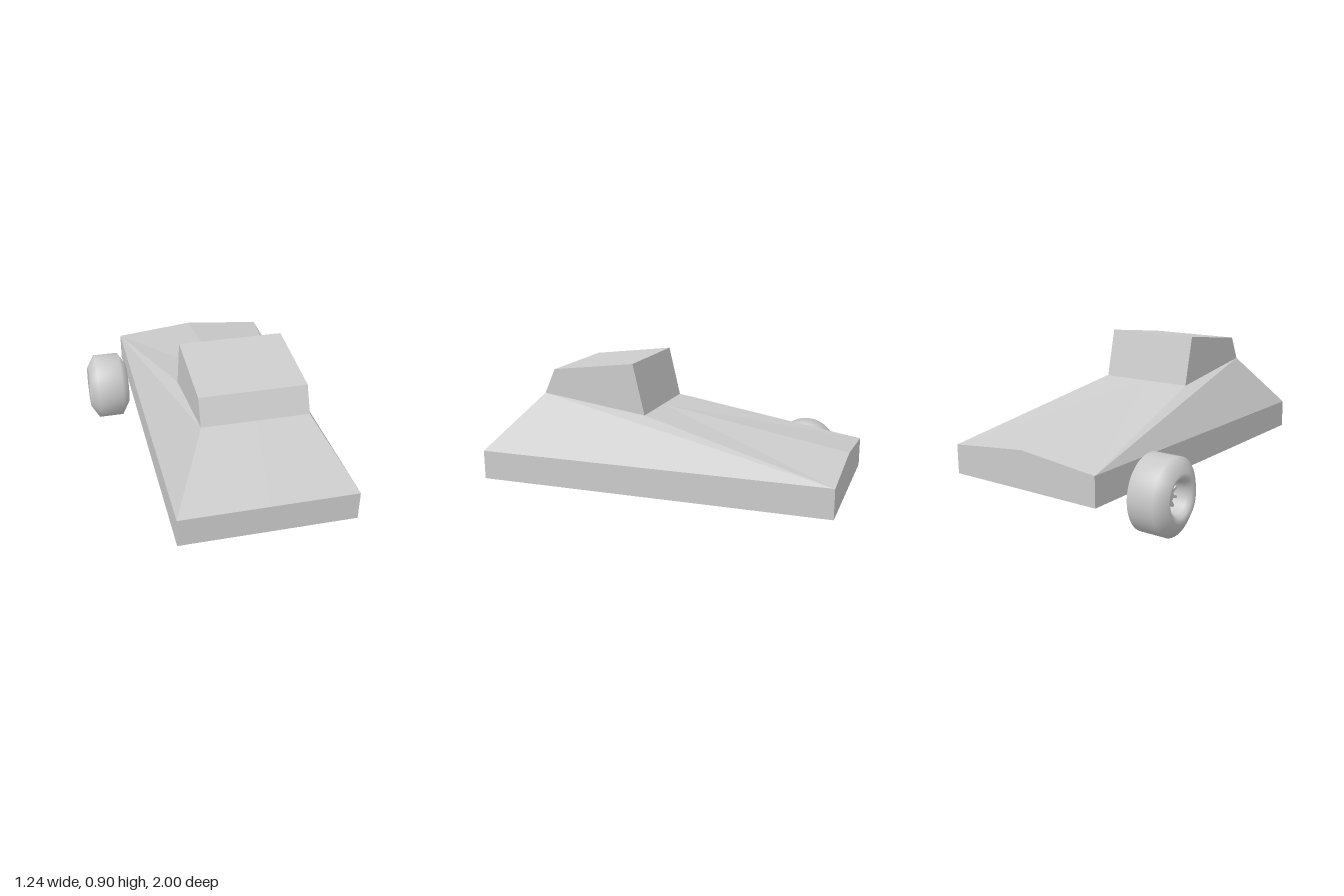
import * as THREE from 'three';

const grey = new THREE.MeshStandardMaterial({ color: 0xcccccc });
const flat = new THREE.MeshStandardMaterial({ color: 0xcccccc, flatShading: true });

// Builds a mesh from quads of one half (x >= 0) and their mirror images
function mirroredMesh(name, quads) {
  const pos = [];
  for (const [a, b, c, d] of quads) {
    for (const p of [a, b, c, a, c, d]) pos.push(...p);
    for (const [x, y, z] of [a, c, b, a, d, c]) pos.push(-x, y, z);
  }
  const geo = new THREE.BufferGeometry();
  geo.setAttribute('position', new THREE.Float32BufferAttribute(pos, 3));
  geo.computeVertexNormals();
  const mesh = new THREE.Mesh(geo, flat);
  mesh.name = name;
  return mesh;
}

function createBody() {
  const w = 0.485, c = 0.292; // half widths of hull and cabin
  const body = new THREE.Group();
  body.name = 'body';

  // Lower slab; its rear face rises to a low peak in the middle
  body.add(mirroredMesh('chassis', [
    [[0, 0.213, 1], [0, 0.213, -1], [w, 0.213, -1], [w, 0.213, 1]],
    [[0, 0.213, 1], [w, 0.213, 1], [w, 0.378, 1], [0, 0.378, 1]],
    [[w, 0.213, 1], [w, 0.213, -1], [w, 0.378, -1], [w, 0.378, 1]],
    [[w, 0.213, -1], [0, 0.213, -1], [0, 0.426, -1], [w, 0.378, -1]],
  ]));

  // Sloping hood, flanks and creased rear deck
  body.add(mirroredMesh('slopedHull', [
    [[0, 0.378, 1], [w, 0.378, 1], [c, 0.7, 0.692], [0, 0.7, 0.692]],
    [[w, 0.378, -1], [c, 0.615, 0.085], [c, 0.7, 0.692], [w, 0.378, 1]],
    [[0, 0.615, 0.085], [c, 0.615, 0.085], [w, 0.378, -1], [0, 0.426, -1]],
  ]));

  // Cabin with upright sides
  body.add(mirroredMesh('cabin', [
    [[0, 0.7, 0.692], [c, 0.7, 0.692], [c, 0.84, 0.628], [0, 0.84, 0.628]],
    [[0, 0.84, 0.628], [c, 0.84, 0.628], [c, 0.898, 0.152], [0, 0.898, 0.152]],
    [[c, 0.615, 0.085], [0, 0.615, 0.085], [0, 0.898, 0.152], [c, 0.898, 0.152]],
    [[c, 0.7, 0.692], [c, 0.615, 0.085], [c, 0.898, 0.152], [c, 0.84, 0.628]],
  ]));
  body.position.x = 0.133;
  return body;
}

function createWheel() {
  const wheel = new THREE.Group();
  wheel.name = 'wheel';

  // Tyre and rim barrel: closed section turned around the axle
  const section = [
    [0.09, -0.09], [0.105, -0.115], [0.133, -0.125], [0.211, -0.078],
    [0.211, 0.078], [0.133, 0.125], [0.105, 0.115], [0.09, 0.09],
    [0.085, 0.05], [0.085, -0.05], [0.09, -0.09],
  ].map(([r, y]) => new THREE.Vector2(r, y));
  const tyre = new THREE.Mesh(new THREE.LatheGeometry(section, 48), grey);
  tyre.name = 'tyre';
  wheel.add(tyre);

  // Hub
  const hub = new THREE.Mesh(new THREE.CylinderGeometry(0.026, 0.026, 0.11, 20), grey);
  hub.name = 'hub';
  wheel.add(hub);

  // Spokes
  const count = 10;
  for (let i = 0; i < count; i++) {
    const a = (i / count) * Math.PI * 2;
    const spoke = new THREE.Mesh(new THREE.BoxGeometry(0.07, 0.08, 0.014), flat);
    spoke.name = 'spoke';
    spoke.position.set(Math.cos(a) * 0.053, 0, -Math.sin(a) * 0.053);
    spoke.rotation.y = a;
    wheel.add(spoke);
  }
  wheel.rotation.z = Math.PI / 2;
  wheel.scale.z = 0.93; // slightly narrower front to back
  wheel.position.set(-0.494, 0.211, -0.638);
  return wheel;
}

export function createModel() {
  const model = new THREE.Group();
  model.name = 'car';
  model.add(createBody(), createWheel());
  return model;
}
